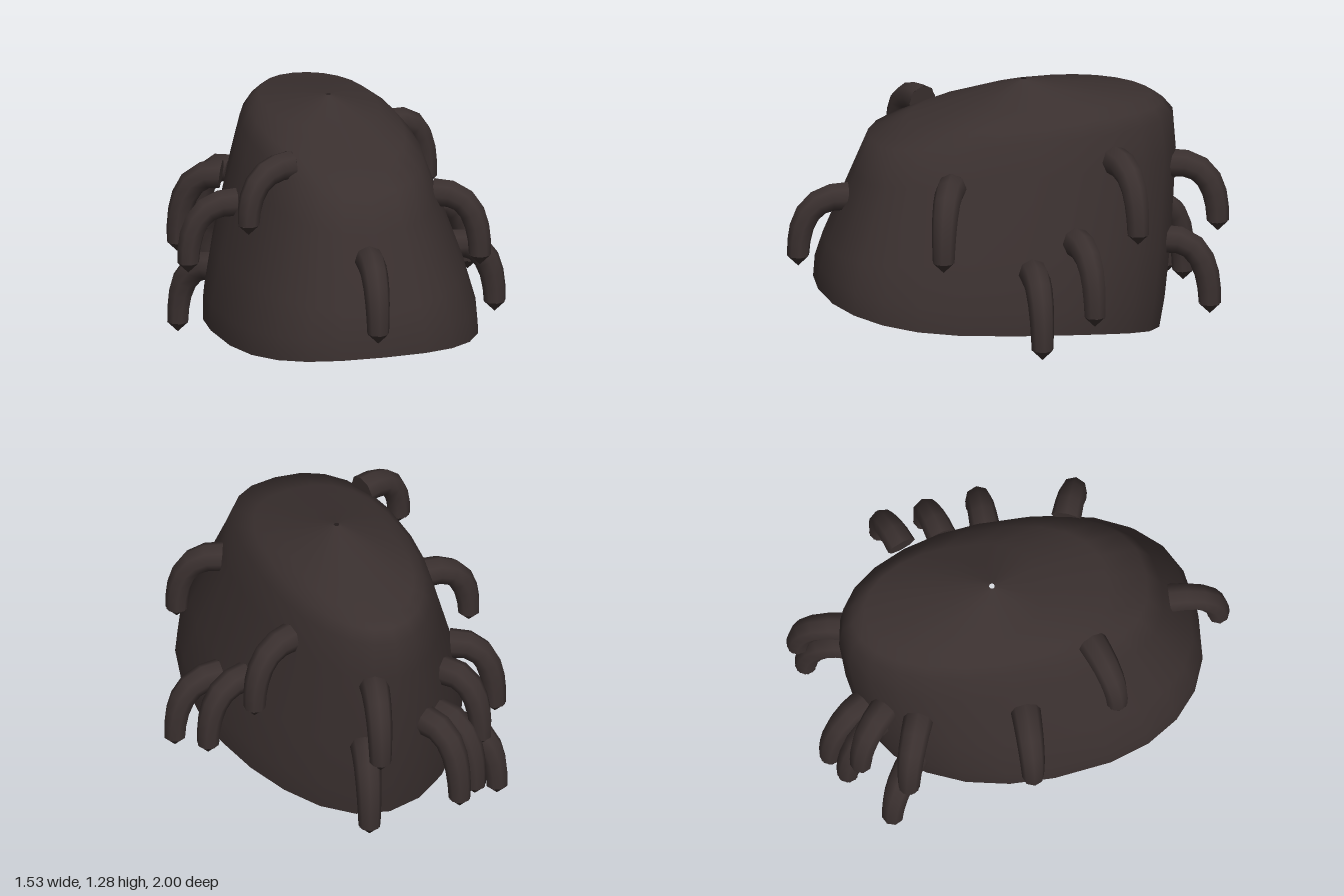
import * as THREE from 'three';

const hair = new THREE.MeshStandardMaterial({ color: 0x3a302f, side: THREE.DoubleSide });
hair.name = 'dark brown hair';

const CENTRE_X = -0.045;
const SEGMENTS = 24;

// Rings from crown to rim: half width, side y, front [z, y], back [z, y]
const RINGS = [
  [0.012, 1.283, [-0.07, 1.282], [-0.094, 1.282]],
  [0.25, 1.2, [0.15, 1.205], [-0.67, 1.18]],
  [0.32, 1.16, [0.45, 1.11], [-0.725, 1.145]],
  [0.37, 1.1, [0.63, 1.05], [-0.77, 1.09]],
  [0.42, 0.95, [0.7, 0.88], [-0.785, 0.9]],
  [0.535, 0.6, [0.83, 0.56], [-0.755, 0.48]],
  [0.59, 0.38, [0.863, 0.45], [-0.725, 0.23]],
  [0.597, 0.265, [0.87, 0.35], [-0.7, 0.09]],
];

// Open cap whose rings are squarer in front and rise from back to front
function makeCap() {
  const pos = [], index = [];
  RINGS.forEach(([w, sideY, [fz, fy], [bz, by]], i) => {
    for (let j = 0; j < SEGMENTS; j++) {
      const a = (j / SEGMENTS) * Math.PI * 2;
      const s = Math.sin(a), c = Math.cos(a);
      const p = c > 0 ? 2 / 2.45 : 1;
      const px = Math.sign(s) * Math.abs(s) ** p;
      const pz = Math.sign(c) * Math.abs(c) ** p;
      const y = sideY + ((fy - by) / 2) * (0.44 * pz + 0.56 * pz ** 3)
        + ((fy + by) / 2 - sideY) * pz * pz;
      pos.push(CENTRE_X + w * px, y, (fz + bz) / 2 + ((fz - bz) / 2) * pz);
      if (i < RINGS.length - 1) {
        const k = (j + 1) % SEGMENTS;
        const A = i * SEGMENTS + j, D = i * SEGMENTS + k;
        const B = A + SEGMENTS, C = D + SEGMENTS;
        index.push(A, B, C, A, C, D);
      }
    }
  });
  const geo = new THREE.BufferGeometry();
  geo.setAttribute('position', new THREE.Float32BufferAttribute(pos, 3));
  geo.setIndex(index);
  geo.computeVertexNormals();
  const mesh = new THREE.Mesh(geo, hair);
  mesh.name = 'hairCap';
  return mesh;
}

// Drooping lock: tapered tube, flat root and pointed tip
function makeLock(root, tip, name) {
  const R0 = 0.068, R1 = 0.05, SIDES = 8, STEPS = 6, POINT = 0.05;
  const start = new THREE.Vector3(...root);
  const end = new THREE.Vector3(...tip);
  end.y += POINT;
  const bend = new THREE.Vector3(end.x, start.y + 0.02, end.z);
  const curve = new THREE.QuadraticBezierCurve3(start, bend, end);
  const tube = new THREE.TubeGeometry(curve, STEPS, R0, SIDES, false);
  const p = tube.attributes.position, v = new THREE.Vector3();
  for (let i = 0; i <= STEPS; i++) {
    const centre = curve.getPointAt(i / STEPS);
    const k = 1 + (R1 / R0 - 1) * (i / STEPS);
    for (let j = 0; j <= SIDES; j++) {
      const n = i * (SIDES + 1) + j;
      v.fromBufferAttribute(p, n).sub(centre).multiplyScalar(k).add(centre);
      p.setXYZ(n, v.x, v.y, v.z);
    }
  }
  const body = new THREE.Mesh(tube, hair);
  body.name = 'lockBody';

  const point = new THREE.Mesh(new THREE.ConeGeometry(R1, POINT, SIDES, 1, true), hair);
  point.name = 'lockTip';
  const down = curve.getTangentAt(1);
  point.quaternion.setFromUnitVectors(new THREE.Vector3(0, 1, 0), down);
  point.position.copy(end).addScaledVector(down, POINT / 2);

  const cap = new THREE.Mesh(new THREE.CircleGeometry(R0, SIDES), hair);
  cap.name = 'lockRoot';
  cap.quaternion.setFromUnitVectors(new THREE.Vector3(0, 0, 1), curve.getTangentAt(0).negate());
  cap.position.copy(start);

  const group = new THREE.Group();
  group.name = name;
  group.add(body, point, cap);
  return group;
}

// Root and tip of each lock
const LOCKS = {
  frontLock: [[-0.08, 0.77, 0.73], [-0.1, 0.45, 0.95]],
  leftFrontLock: [[0.34, 0.92, 0.34], [0.525, 0.585, 0.42]],
  leftLowLock: [[0.5, 0.54, 0], [0.71, 0.2, 0.005]],
  leftMiddleLock: [[0.46, 0.66, -0.21], [0.655, 0.32, -0.25]],
  leftBackLock: [[0.33, 0.99, -0.42], [0.525, 0.65, -0.48]],
  rightFrontLock: [[-0.34, 1.11, 0.32], [-0.55, 0.82, 0.39]],
  rightLock: [[-0.5, 0.83, -0.02], [-0.715, 0.51, -0.03]],
  rightBackLock: [[-0.43, 0.79, -0.5], [-0.61, 0.41, -0.58]],
  rightBackLowLock: [[-0.44, 0.34, -0.52], [-0.59, 0.0, -0.65]],
  backRightUpperLock: [[-0.34, 0.76, -0.64], [-0.46, 0.4, -0.77]],
  backRightMiddleLock: [[-0.31, 0.54, -0.66], [-0.41, 0.17, -0.82]],
  backRightLowLock: [[-0.22, 0.56, -0.71], [-0.31, 0.17, -0.88]],
  backUpperLock: [[0.05, 0.86, -0.74], [0.105, 0.54, -0.945]],
  backLowLock: [[0.08, 0.51, -0.7], [0.14, 0.16, -0.9]],
};

export function createModel() {
  const model = new THREE.Group();
  model.name = 'hairpiece';
  model.add(makeCap());
  for (const [name, [root, tip]] of Object.entries(LOCKS)) model.add(makeLock(root, tip, name));
  return model;
}
